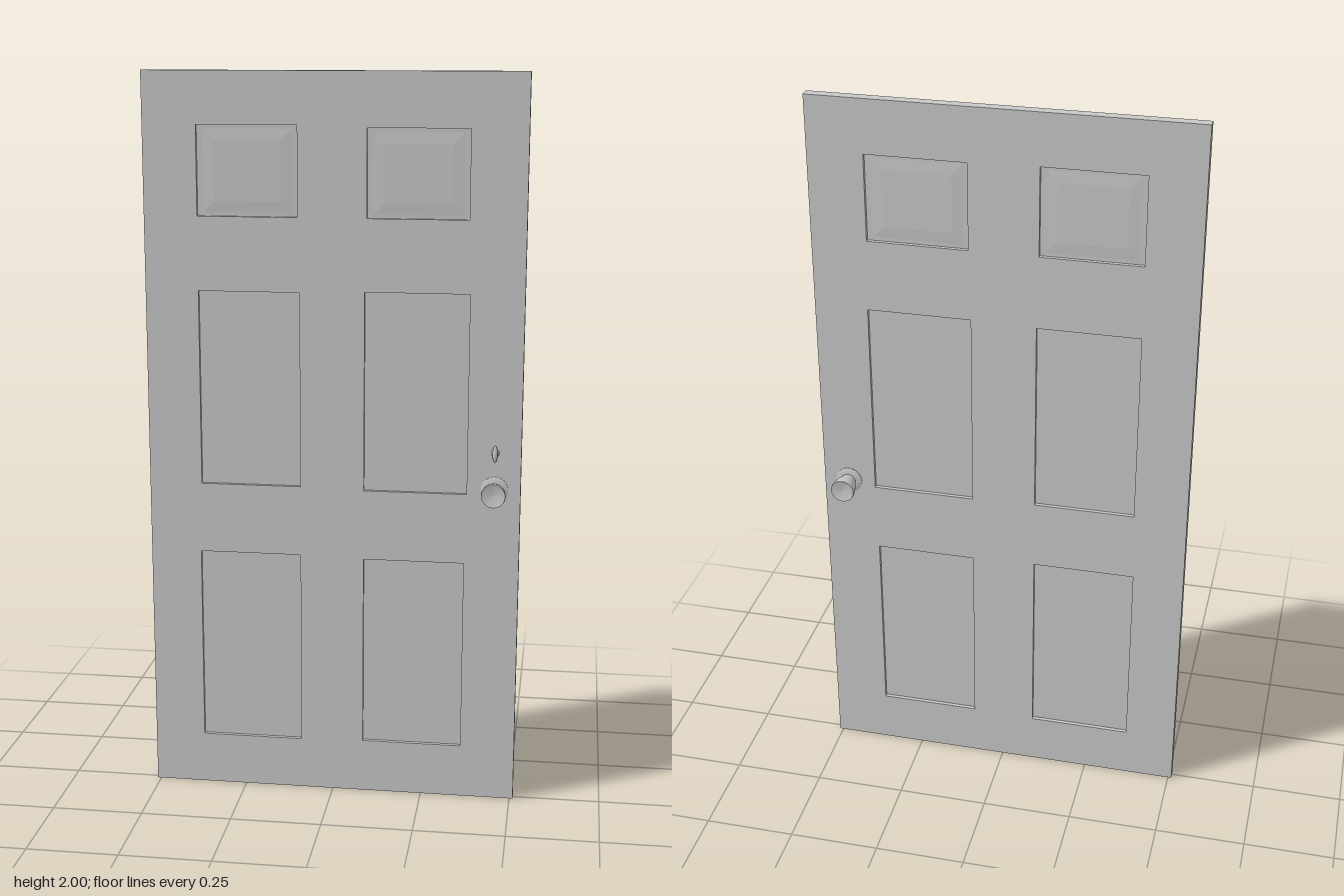
import * as THREE from 'three';

const BACK = -0.016, FRONT = 0.013, MID = (BACK + FRONT) / 2;

// Panel openings: [x0, x1, y0, y1]
const PANELS = [
  [-0.365, -0.095, 1.62, 1.86], [0.09, 0.36, 1.62, 1.855],
  [-0.365, -0.09, 0.885, 1.42], [0.085, 0.365, 0.88, 1.425],
  [-0.37, -0.09, 0.145, 0.69], [0.085, 0.36, 0.15, 0.685],
];

function trace(path, [x0, x1, y0, y1]) {
  path.moveTo(x0, y0);
  path.lineTo(x1, y0);
  path.lineTo(x1, y1);
  path.lineTo(x0, y1);
  path.closePath();
  return path;
}

export function createModel() {
  const door = new THREE.Group();
  door.name = 'door';
  const grey = new THREE.MeshStandardMaterial({ color: 0xc8c8c8, side: THREE.DoubleSide });
  grey.name = 'light grey';

  const add = (parent, name, geometry, x = 0, y = 0, z = 0) => {
    const mesh = new THREE.Mesh(geometry, grey);
    mesh.name = name;
    mesh.position.set(x, y, z);
    parent.add(mesh);
    return mesh;
  };

  // Slab with six openings
  const outline = trace(new THREE.Shape(), [-0.51, 0.51, 0, 2]);
  outline.holes = PANELS.map((p) => trace(new THREE.Path(), p));
  const slab = new THREE.ExtrudeGeometry(outline, { depth: FRONT - BACK, bevelEnabled: false });
  add(door, 'slab', slab, 0, 0, BACK);

  // Thin recessed panels; the upper pair has a faintly raised field
  PANELS.forEach(([x0, x1, y0, y1], i) => {
    const w = x1 - x0, h = y1 - y0, x = (x0 + x1) / 2, y = (y0 + y1) / 2;
    add(door, 'recessedPanel', new THREE.BoxGeometry(w, h, 0.008), x, y, MID);
    if (i < 2) {
      const field = trace(new THREE.Shape(), [-w / 2 + 0.045, w / 2 - 0.045, -h / 2 + 0.04, h / 2 - 0.04]);
      const geometry = new THREE.ExtrudeGeometry(field, {
        depth: 0.008, bevelThickness: 0.002, bevelSize: 0.03, bevelSegments: 1,
      });
      add(door, 'raisedField', geometry, x, y, MID - 0.004);
    }
  });

  // Flared knobs with a rosette and a dished end, one on each face
  const rosetteProfile = [[0, 0.006], [0.024, 0.006], [0.037, 0.002], [0.037, 0]];
  const knobProfile = [
    [0.019, 0.004], [0.022, 0.012], [0.025, 0.022], [0.029, 0.036],
    [0.032, 0.050], [0.033, 0.060], [0.032, 0.066],
  ];
  const endProfile = [[0.032, 0.066], [0.029, 0.067], [0.027, 0.064], [0, 0.061]];
  const lathe = (points) => new THREE.LatheGeometry(
    points.map(([r, h]) => new THREE.Vector2(r, h)), 32).rotateX(Math.PI / 2);
  for (const side of [1, -1]) {
    const knob = new THREE.Group();
    knob.name = side > 0 ? 'frontKnob' : 'backKnob';
    knob.position.set(0.44, 0.895, side > 0 ? FRONT : BACK);
    if (side < 0) knob.rotation.y = Math.PI;
    add(knob, 'rosette', lathe(rosetteProfile));
    add(knob, 'handle', lathe(knobProfile));
    add(knob, 'dishedEnd', lathe(endProfile));
    door.add(knob);
  }

  // Small thumb turn above the front knob
  const turn = new THREE.Group();
  turn.name = 'thumbTurn';
  turn.position.set(0.44, 0.998, FRONT);
  const stem = new THREE.CylinderGeometry(0.008, 0.011, 0.008, 20).rotateX(Math.PI / 2);
  add(turn, 'turnStem', stem, 0, 0, 0.004);
  const grip = new THREE.SphereGeometry(1, 20, 14).scale(0.007, 0.023, 0.006);
  add(turn, 'turnGrip', grip, 0, 0, 0.011);
  door.add(turn);

  return door;
}
